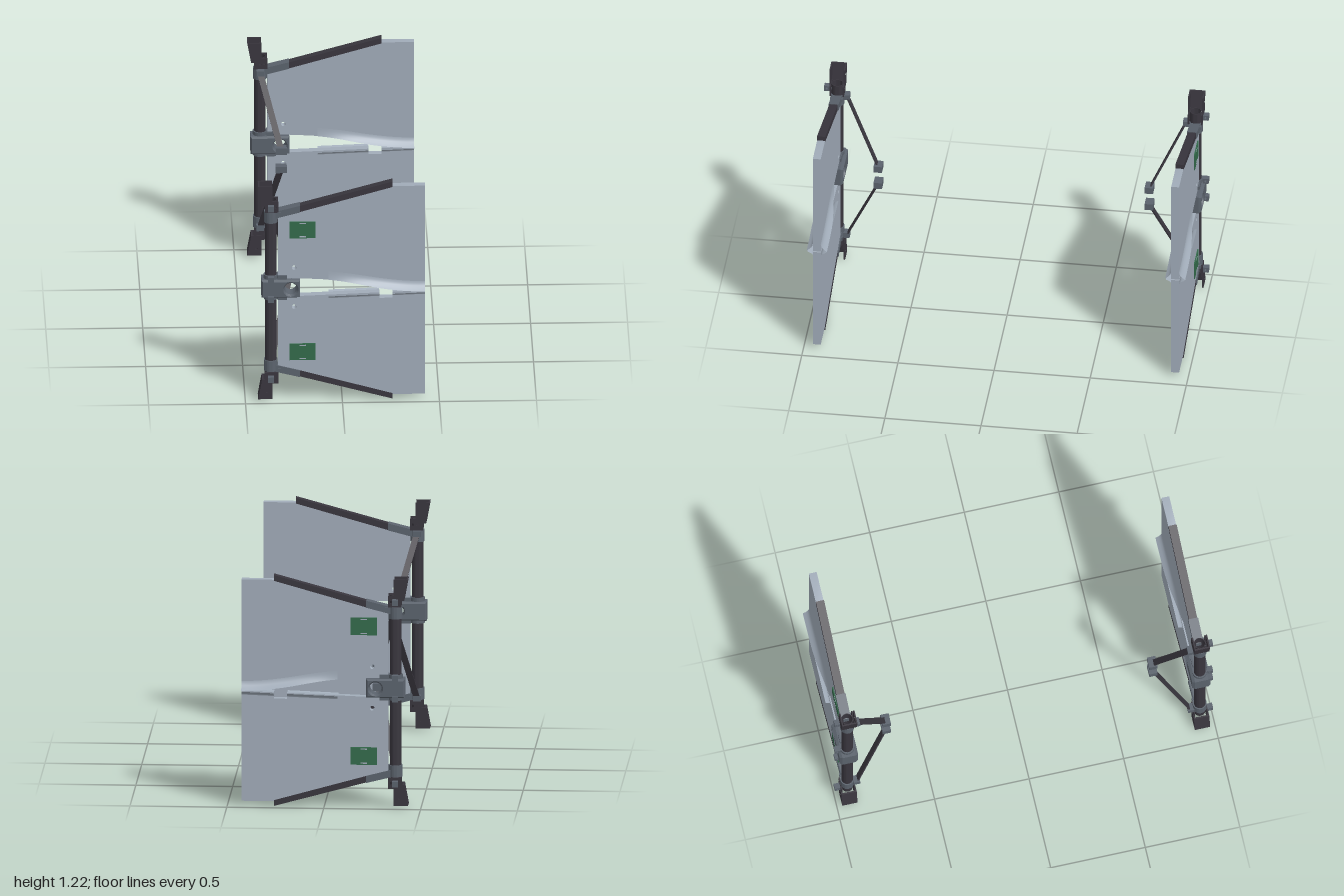
import * as THREE from 'three';
import { toCreasedNormals } from 'three/addons/utils/BufferGeometryUtils.js';

const H = 1.218;      // total height
const POST_X = -0.368;
const Z = 0.932;      // distance of each frame from the middle

export function createModel() {
  const mat = (name, color, side = THREE.FrontSide) => {
    const m = new THREE.MeshStandardMaterial({ color, side });
    m.name = name;
    return m;
  };
  const panelGrey = mat('panel grey', 0xa1acb9, THREE.DoubleSide);
  const dark = mat('dark metal', 0x39363e);
  const steel = mat('steel grey', 0x5b636d);
  const green = mat('green', 0x336b4b);

  const model = new THREE.Group();
  model.name = 'panelFrames';

  // One frame; s = +1 for the front one, -1 for the rear one (outer side = s)
  function makeFrame(s) {
    const frame = new THREE.Group();
    frame.name = s > 0 ? 'frontFrame' : 'rearFrame';
    frame.position.z = s * Z;

    const add = (name, geo, material, x = 0, y = 0, z = 0) => {
      const mesh = new THREE.Mesh(geo, material);
      mesh.name = name;
      mesh.position.set(x, y, z);
      frame.add(mesh);
      return mesh;
    };
    const box = (name, m, x, y, z, w, h, d) => add(name, new THREE.BoxGeometry(w, h, d), m, x, y, z);
    // Plate from an outline and round holes [x, y, r], centred on z
    const plate = (name, m, pts, depth, z = 0, holes = []) => {
      const shape = new THREE.Shape(pts.map(p => new THREE.Vector2(...p)));
      for (const [x, y, r] of holes) shape.holes.push(new THREE.Path().absarc(x, y, r, 0, Math.PI * 2, true));
      const g = new THREE.ExtrudeGeometry(shape, { depth, bevelEnabled: false, curveSegments: 12 });
      g.translate(0, 0, z - depth / 2);
      return add(name, toCreasedNormals(g, 0.5), m);
    };
    // Upright hollow tube
    const tube = (name, m, r, inner, y0, y1, seg, crease) => {
      const shape = new THREE.Shape().absarc(0, 0, r, 0, Math.PI * 2);
      shape.holes.push(new THREE.Path().absarc(0, 0, inner, 0, Math.PI * 2, true));
      const g = new THREE.ExtrudeGeometry(shape, { depth: y1 - y0, bevelEnabled: false, curveSegments: seg });
      g.rotateX(-Math.PI / 2);
      return add(name, toCreasedNormals(g, crease), m, POST_X, y0, 0);
    };
    // Small square lug with a hole through it sideways
    const lug = y => {
      const q = 0.015;
      const m = plate('lug', steel, [[-q, -q], [q, -q], [q, q], [-q, q]], 0.03, 0, [[0, 0, 0.007]]);
      m.rotation.y = Math.PI / 2;
      m.position.set(POST_X, y, s * 0.053);
      box('lugStem', steel, POST_X, y, s * 0.034, 0.02, 0.014, 0.014);
    };

    // Post and central hub
    tube('post', dark, 0.03, 0.027, 0.108, 1.118, 20, 0.6);
    for (const [a, b] of [[0.565, 0.592], [0.668, 0.7]]) {
      tube('hubRing', steel, 0.037, 0.029, a, b, 12, 0.1);
      box('hubClamp', steel, -0.31, (a + b) / 2, 0, 0.05, b - a, 0.06);
    }
    const bev = 0.012;
    const hub = new THREE.Shape();
    hub.moveTo(-0.405, 0.602).lineTo(-0.229, 0.602).lineTo(-0.229, 0.658).lineTo(-0.405, 0.658);
    hub.holes.push(new THREE.Path().absarc(-0.266, 0.63, 0.032, 0, Math.PI * 2, true));
    // The hole rim is outside the chamfer's reach, so the hub is a chamfered body with a straight bore
    hub.holes[0] = new THREE.Path().absarc(-0.266, 0.63, 0.032 + 0.008, 0, Math.PI * 2, true);
    // Kept within the hub height by widening the front outline slightly
    hub.curves.length = 0;
    hub.moveTo(-0.409, 0.587 + bev - 0.01).lineTo(-0.225, 0.587 + bev - 0.01)
      .lineTo(-0.225, 0.674 - bev + 0.01).lineTo(-0.409, 0.674 - bev + 0.01).closePath();
    const hubGeo = new THREE.ExtrudeGeometry(hub, {
      depth: 0.07, bevelEnabled: true, bevelSize: 0.008, bevelThickness: 0.014, bevelSegments: 1, curveSegments: 16,
    });
    hubGeo.translate(0, 0, -0.035);
    add('hub', toCreasedNormals(hubGeo, 0.4), steel);
    lug(0.69);
    lug(0.58);

    // Panel outlines: inner edges meet at the gap
    const upperEdge = new THREE.SplineCurve([[-0.33, 0.682], [-0.2, 0.68], [0, 0.665], [0.2, 0.632], [0.33, 0.616], [0.427, 0.612]]
      .map(p => new THREE.Vector2(...p))).getPoints(24).map(p => [p.x, p.y]);
    const lowerEdge = [[-0.33, 0.578], [-0.217, 0.582], [0.192, 0.597], [0.192, 0.566], [0.26, 0.566], [0.26, 0.599], [0.427, 0.606]];

    // Curled lip along an inner edge, one sheet on each face
    const lip = (name, x0, x1, edgeY, h, width) => {
      for (const side of [1, -1]) {
        const pos = [], idx = [], n = 16, k = 5;
        for (let i = 0; i <= n; i++) {
          const x = x0 + (x1 - x0) * i / n, e = edgeY(x), w = width(x);
          for (let j = 0; j < k; j++) {
            const t = j / (k - 1);
            pos.push(x, e + h * (1 - t), side * (0.0205 + w * t * t));
            if (i < n && j < k - 1) {
              const a = i * k + j;
              idx.push(a, a + 1, a + k, a + 1, a + k + 1, a + k);
            }
          }
        }
        const g = new THREE.BufferGeometry();
        g.setAttribute('position', new THREE.Float32BufferAttribute(pos, 3));
        g.setIndex(idx);
        g.computeVertexNormals();
        add(name, g, panelGrey);
      }
    };
    const upperY = x => {
      const i = Math.max(1, upperEdge.findIndex(p => p[0] >= x - 1e-6));
      const [a, b] = [upperEdge[i - 1], upperEdge[i]];
      return a[1] + (b[1] - a[1]) * (x - a[0]) / (b[0] - a[0]);
    };
    const lowerY = x => 0.59 + 0.0367 * x;
    lip('upperLip', -0.07, 0.427, upperY, 0.045, x => 0.032 * THREE.MathUtils.smoothstep(x, -0.15, 0.25));
    lip('lowerLip', -0.07, 0.192, lowerY, -0.02, () => 0.025);
    lip('lowerLip', 0.26, 0.427, lowerY, -0.02, () => 0.028);

    // Everything mirrored about mid height
    for (const up of [true, false]) {
      const f = y => (up ? y : H - y);
      const fm = pts => pts.map(([x, y]) => [x, f(y)]);
      const v = up ? 1 : -1;

      // Panel with its outer bar and sleeve
      const outer = fm([[0.427, 1.193], [0.26, 1.193], [-0.217, 1.058], [-0.33, 1.026]]);
      plate('panel', panelGrey, [...(up ? upperEdge : lowerEdge), ...outer], 0.041, 0,
        [[-0.248, up ? 0.741 : 0.522, 0.012]]);
      plate('edgeBar', dark, fm([[-0.22, 1.053], [0.26, 1.188], [0.26, 1.218], [-0.22, 1.087]]), 0.043);
      plate('barSleeve', steel, fm([[-0.345, 1.02], [-0.217, 1.053], [-0.217, 1.09], [-0.345, 1.058]]), 0.052);
      box('sleeveBolt', steel, -0.323, f(1.046), 0, 0.016, 0.018, 0.064);
      tube('collar', steel, 0.036, 0.029, up ? 0.995 : H - 1.056, up ? 1.056 : H - 0.995, 20, 0.6);

      // Green plate on the outer face with two slots
      const py = up ? 0.954 : 0.27;
      box('greenPlate', green, -0.205, py, s * 0.0225, 0.136, 0.092, 0.008);
      for (const k of [-1, 1]) box('plateSlot', panelGrey, -0.204, py + k * 0.037, s * 0.0268, 0.034, 0.006, 0.002);

      // Channel bracket on the post end
      for (const k of [-1, 1]) {
        plate('bracketSide', dark, fm([[-0.434, 1.205], [-0.36, 1.205], [-0.36, 1.095], [-0.414, 1.095]]), 0.007, k * 0.037,
          [[-0.388, f(1.165), 0.006]]);
        plate('bracketFoot', dark, fm([[-0.398, 1.058], [-0.33, 1.058], [-0.33, 1.118], [-0.398, 1.118]]), 0.007, k * 0.034,
          [[-0.368, f(1.087), 0.007], [-0.345, f(1.087), 0.007]]);
      }
      plate('bracketBack', dark, fm([[-0.434, 1.205], [-0.426, 1.205], [-0.406, 1.095], [-0.414, 1.095]]), 0.07);
      lug(f(1.088));

      // Flat strut reaching inwards, with its end blocks
      const a = new THREE.Vector3(POST_X, f(1.045), -s * 0.05);
      const b = new THREE.Vector3(-0.265, up ? 0.684 : 0.582, s * (0.705 - Z));
      const d = b.clone().sub(a);
      const yAxis = d.clone().normalize();
      const zAxis = new THREE.Vector3(1, 0, 0).cross(yAxis).normalize();
      const strut = box('strut', dark, 0, 0, 0, 0.032, d.length(), 0.008);
      strut.position.copy(a).addScaledVector(d, 0.5);
      strut.quaternion.setFromRotationMatrix(
        new THREE.Matrix4().makeBasis(yAxis.clone().cross(zAxis), yAxis, zAxis));
      box('strutMount', steel, a.x, a.y - v * 0.002, -s * 0.048, 0.04, 0.03, 0.034);
      box('strutBlock', steel, b.x, b.y, b.z, 0.058, 0.036, 0.044);
    }
    return frame;
  }

  model.add(makeFrame(1), makeFrame(-1));
  return model;
}
